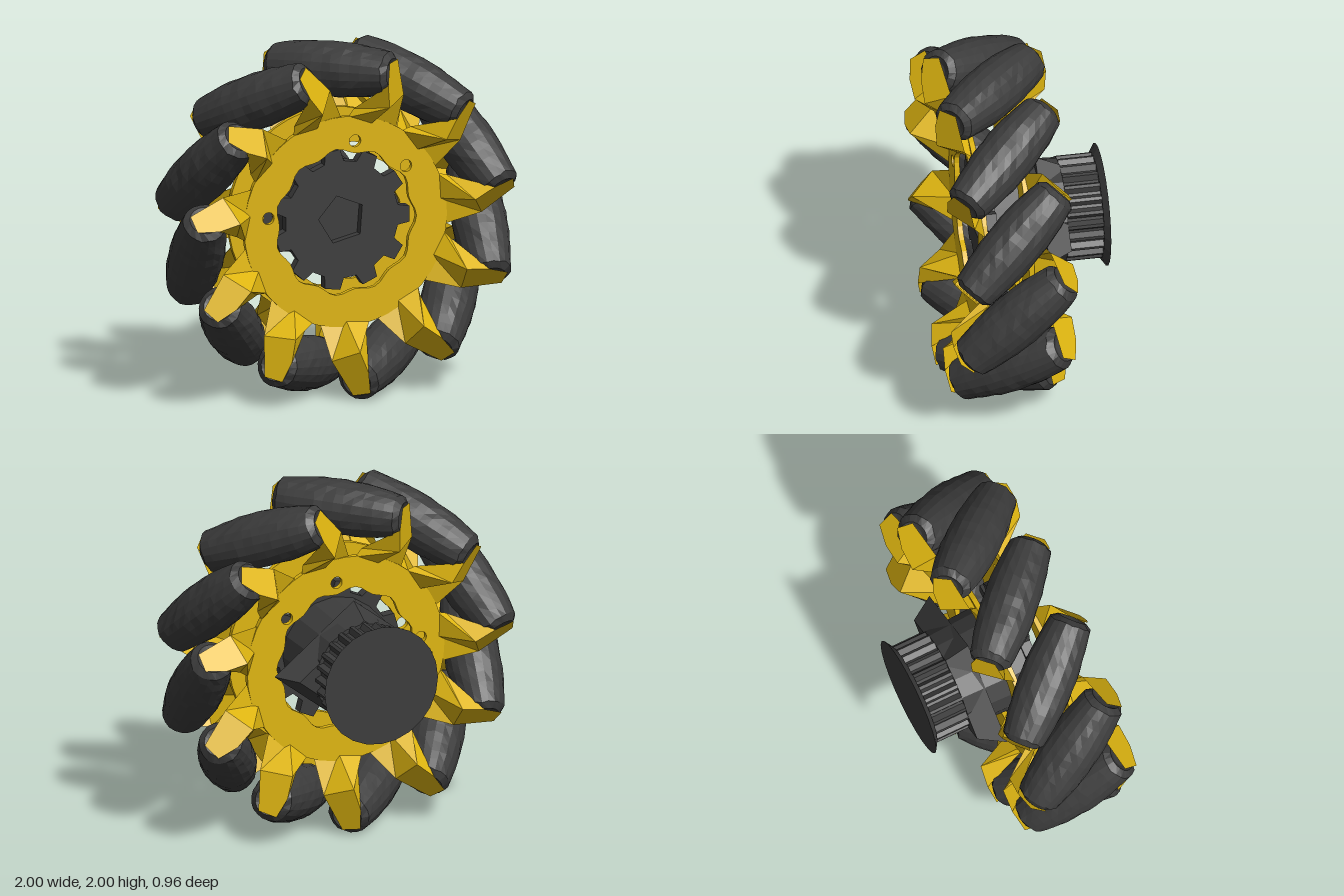
import * as THREE from 'three';

const yellow = new THREE.MeshStandardMaterial({ color: 0xdeb510, flatShading: true, side: THREE.DoubleSide });
yellow.name = 'yellow';
const dark = new THREE.MeshStandardMaterial({ color: 0x3c3c3c, flatShading: true, side: THREE.DoubleSide });
dark.name = 'charcoal';

const COUNT = 11;        // rollers around the wheel
const AXLE_R = 0.845;    // distance of roller centres from the wheel axis
const MID_Z = 0.125;     // middle plane of the roller ring

function add(parent, name, geometry, material) {
  const mesh = new THREE.Mesh(geometry, material);
  mesh.name = name;
  parent.add(mesh);
  return mesh;
}

// repeatable noise in -1..1
function noise(a, b) {
  const v = Math.sin(a * 12.9898 + b * 78.233) * 43758.5453;
  return (v - Math.floor(v)) * 2 - 1;
}

// barrel whose envelope follows the wheel rim, with a rough rubber surface
function rollerGeometry() {
  const half = 0.375, rows = 12, segs = 20;
  const pts = [new THREE.Vector2(0, -half + 0.02), new THREE.Vector2(0.045, -half + 0.02), new THREE.Vector2(0.085, -half)];
  for (let i = 0; i <= rows; i++) {
    const s = (i / rows * 2 - 1) * (half - 0.03);
    pts.push(new THREE.Vector2(1 - Math.hypot(AXLE_R, s * Math.SQRT1_2), s));
  }
  pts.push(new THREE.Vector2(0.085, half), new THREE.Vector2(0.045, half - 0.02), new THREE.Vector2(0, half - 0.02));
  const geo = new THREE.LatheGeometry(pts, segs);
  const pos = geo.attributes.position;
  for (let i = 0; i < pos.count; i++) {
    const row = i % pts.length, seg = Math.floor(i / pts.length) % segs;
    if (row < 3 || row > rows + 3) continue;
    const k = 1 + 0.022 * noise(seg, row);
    pos.setXYZ(i, pos.getX(i) * k, pos.getY(i) + 0.008 * noise(row, seg), pos.getZ(i) * k);
  }
  return geo;
}

// folded sheet tab from the ring to the roller end; x is tangential, y radial
function bracketGeometry() {
  const plate = (r, b) => [0.276 + b * Math.SQRT1_2, r, 0.276 - b * Math.SQRT1_2];
  const base = (deg, r) => [r * Math.sin(deg * Math.PI / 180), r * Math.cos(deg * Math.PI / 180), 0.125];
  const p = [
    plate(0.92, -0.07), plate(0.92, 0.04), plate(0.70, 0.10), plate(0.67, -0.09), // end plate
    base(4, 0.59), base(33, 0.59), base(18, 0.56),                               // foot on the ring
    plate(0.80, -0.10), base(7, 0.64),                                           // side gusset
  ];
  const geo = new THREE.BufferGeometry();
  geo.setAttribute('position', new THREE.Float32BufferAttribute(p.flat(), 3));
  geo.setIndex([0, 3, 1, 1, 3, 2, 3, 6, 2, 2, 6, 5, 3, 4, 6, 7, 8, 3, 8, 4, 3, 0, 7, 3]);
  geo.computeVertexNormals();
  return geo;
}

// ring plate with a wavy inner edge and bolt holes
function ringGeometry() {
  const shape = new THREE.Shape().absarc(0, 0, 0.6, 0, Math.PI * 2);
  const inner = [];
  for (let i = 0; i < 66; i++) {
    const a = i / 66 * Math.PI * 2, r = 0.405 + 0.015 * Math.cos(a * COUNT);
    inner.push(new THREE.Vector2(r * Math.cos(a), r * Math.sin(a)));
  }
  shape.holes.push(new THREE.Path(inner));
  for (const deg of [83, 39, 173]) {
    const a = deg * Math.PI / 180;
    shape.holes.push(new THREE.Path().absarc(0.46 * Math.cos(a), 0.46 * Math.sin(a), 0.034, 0, Math.PI * 2));
  }
  return new THREE.ExtrudeGeometry(shape, { depth: 0.03, bevelEnabled: false, curveSegments: 22 });
}

// toothed outline for the hub disc and the gear
function cogShape(teeth, rootR, tipR, flat) {
  const pts = [];
  for (let i = 0; i < teeth; i++) {
    const step = Math.PI * 2 / teeth;
    [[-0.5 + flat, rootR], [-flat, tipR], [flat, tipR], [0.5 - flat, rootR]].forEach(([o, r]) => {
      const a = (i + o) * step;
      pts.push(new THREE.Vector2(r * Math.cos(a), r * Math.sin(a)));
    });
  }
  return new THREE.Shape(pts);
}

function createModel() {
  const model = new THREE.Group();
  model.name = 'rollerWheel';
  const wheel = new THREE.Group();
  wheel.name = 'wheel';
  wheel.position.y = 1;
  model.add(wheel);

  // rollers with a bracket at each end
  const rollerGeo = rollerGeometry(), bracketGeo = bracketGeometry();
  const axis = new THREE.Vector3(1, 0, 1).normalize();
  for (let i = 0; i < COUNT; i++) {
    const unit = new THREE.Group();
    unit.name = 'rollerUnit';
    unit.position.z = MID_Z;
    unit.rotation.z = (-6 - 90) * Math.PI / 180 + i * Math.PI * 2 / COUNT;
    wheel.add(unit);
    const roller = add(unit, 'roller', rollerGeo, dark);
    roller.position.y = AXLE_R;
    roller.quaternion.setFromUnitVectors(new THREE.Vector3(0, 1, 0), axis);
    add(unit, 'frontBracket', bracketGeo, yellow);
    add(unit, 'backBracket', bracketGeo, yellow).rotation.y = Math.PI;
  }

  // ring plates
  const ringGeo = ringGeometry();
  add(wheel, 'frontRing', ringGeo, yellow).position.z = MID_Z + 0.11;
  add(wheel, 'backRing', ringGeo, yellow).position.z = MID_Z - 0.14;

  // toothed hub disc with a five-sided socket
  const disc = cogShape(COUNT, 0.335, 0.4, 0.2);
  const socket = [];
  for (let i = 0; i < 5; i++) {
    const a = 0.55 + i / 5 * Math.PI * 2;
    socket.push(new THREE.Vector2(0.14 * Math.cos(a), 0.14 * Math.sin(a)));
  }
  disc.holes.push(new THREE.Path(socket));
  add(wheel, 'hubDisc', new THREE.ExtrudeGeometry(disc, { depth: 0.06, bevelEnabled: false }), dark).position.z = 0.15;

  // hub core
  const core = add(wheel, 'hubCore', new THREE.CylinderGeometry(0.31, 0.29, 0.42, 16), dark);
  core.rotation.x = Math.PI / 2;
  core.position.z = -0.05;

  // four-cornered flare behind the hub
  const flare = add(wheel, 'hubFlare', new THREE.CylinderGeometry(0.43, 0.35, 0.14, 4), dark);
  flare.rotation.x = Math.PI / 2;
  flare.scale.set(1.12, 1, 0.88);
  flare.position.z = -0.19;

  // drive gear
  const gear = cogShape(24, 0.265, 0.295, 0.12);
  add(wheel, 'driveGear', new THREE.ExtrudeGeometry(gear, { depth: 0.21, bevelEnabled: false }), dark).position.z = -0.47;

  // flange closing the gear
  const flange = add(wheel, 'gearFlange', new THREE.CylinderGeometry(0.3, 0.345, 0.03, 24), dark);
  flange.rotation.x = Math.PI / 2;
  flange.position.z = -0.475;
  return model;
}

export { createModel };
